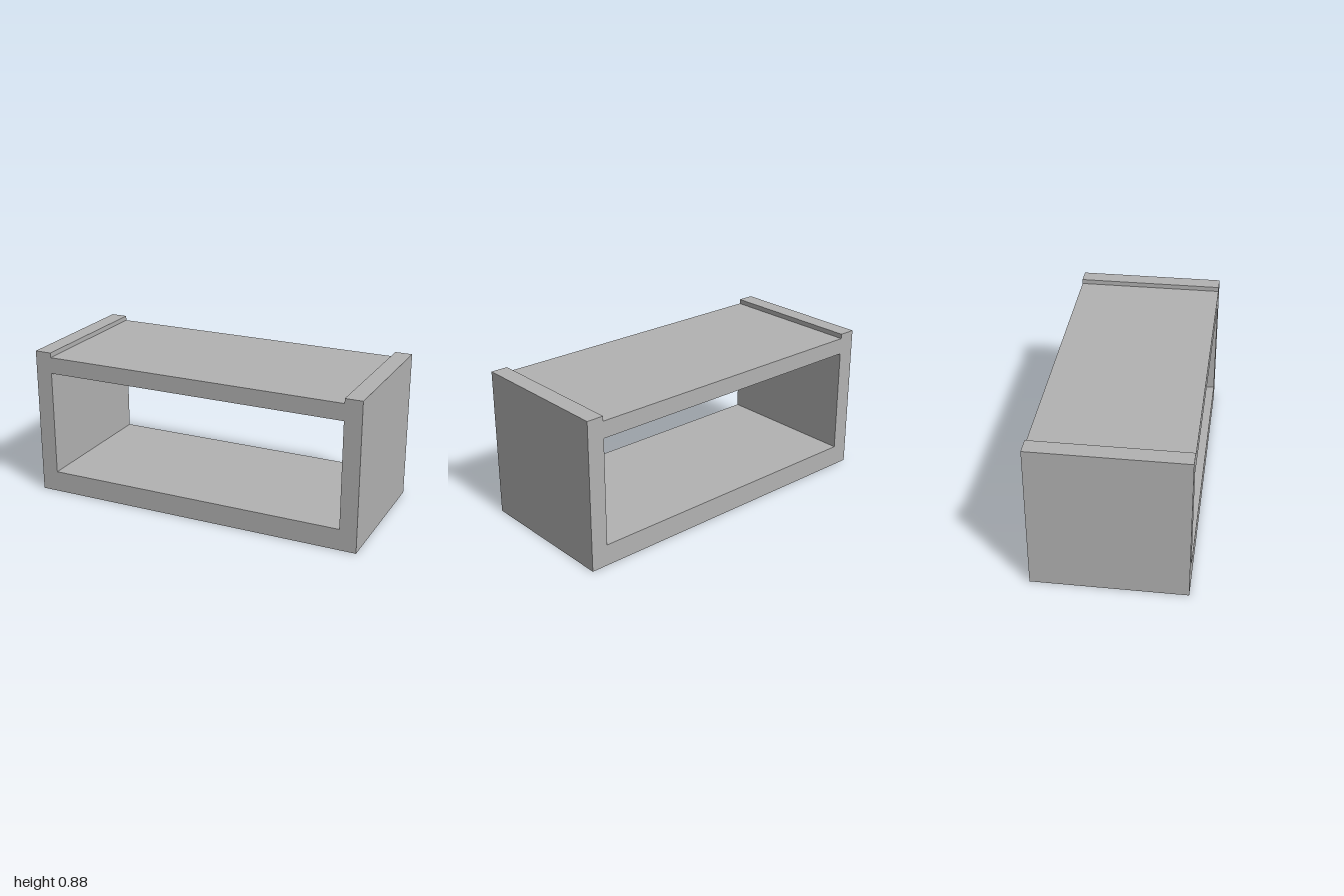
import * as THREE from 'three';

export function createModel() {
  const group = new THREE.Group();
  group.name = 'openBoxFrame';
  const grey = new THREE.MeshStandardMaterial({ color: 0xb2b2b2 });
  grey.name = 'plain grey';

  const W = 1, inner = 0.9, H = 0.875, depth = 0.875;
  const floorTop = 0.125, slabBottom = 0.75, slabTop = 0.847;

  // Front outline: side walls rise a little above the top slab
  const outline = new THREE.Shape([
    [-W, 0], [W, 0], [W, H], [inner, H],
    [inner, slabTop], [-inner, slabTop], [-inner, H], [-W, H],
  ].map(([x, y]) => new THREE.Vector2(x, y)));

  // Opening running through from front to back
  outline.holes.push(new THREE.Path([
    [-inner, floorTop], [-inner, slabBottom], [inner, slabBottom], [inner, floorTop],
  ].map(([x, y]) => new THREE.Vector2(x, y))));

  const geometry = new THREE.ExtrudeGeometry(outline, { depth, bevelEnabled: false });
  geometry.translate(0, 0, -depth / 2);
  const frame = new THREE.Mesh(geometry, grey);
  frame.name = 'frame';
  group.add(frame);
  return group;
}
